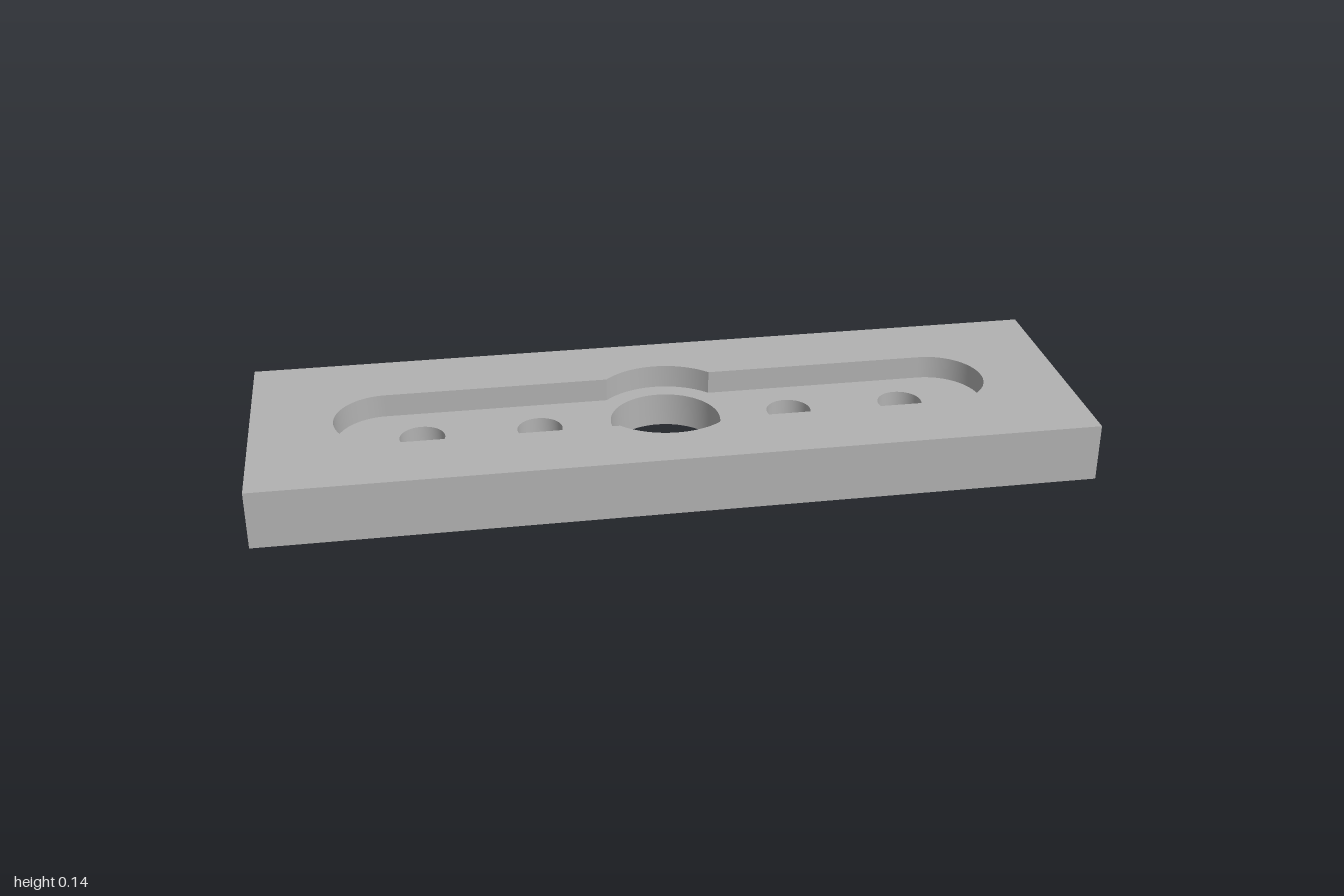
import * as THREE from 'three';

const HALF_X = 1, HALF_Z = 0.31, TOP = 0.143, FLOOR = 0.085;
const SLOT_R = 0.125, SLOT_END = 0.678, BOSS_R = 0.18, BORE_R = 0.135, BOLT_R = 0.055;
const SEGMENTS = 32;

// Clockwise plate outline, so its walls face outward
function plateOutline() {
  return new THREE.Shape()
    .moveTo(-HALF_X, -HALF_Z)
    .lineTo(-HALF_X, HALF_Z)
    .lineTo(HALF_X, HALF_Z)
    .lineTo(HALF_X, -HALF_Z)
    .lineTo(-HALF_X, -HALF_Z);
}

// Counter-clockwise slot with a round widening in the middle; its walls face inward
function pocketOutline() {
  const a = Math.asin(SLOT_R / BOSS_R), j = BOSS_R * Math.cos(a), q = Math.PI / 2;
  return new THREE.Shape()
    .moveTo(j, -SLOT_R)
    .lineTo(SLOT_END, -SLOT_R)
    .absarc(SLOT_END, 0, SLOT_R, -q, q, false)
    .lineTo(j, SLOT_R)
    .absarc(0, 0, BOSS_R, a, Math.PI - a, false)
    .lineTo(-SLOT_END, SLOT_R)
    .absarc(-SLOT_END, 0, SLOT_R, q, 3 * q, false)
    .lineTo(-j, -SLOT_R)
    .absarc(0, 0, BOSS_R, Math.PI + a, 2 * Math.PI - a, false);
}

function circle(x, r) {
  return new THREE.Path().absarc(x, 0, r, 0, Math.PI * 2, false);
}

// Upright strip along one curve, smooth along its length
function strip(curve, y0, y1) {
  const positions = [], index = [];
  const points = curve.getPoints(curve.isEllipseCurve ? SEGMENTS * 2 : 1);
  points.forEach((p, i) => {
    positions.push(p.x, y0, -p.y, p.x, y1, -p.y);
    if (i > 0) {
      const k = 2 * (i - 1);
      index.push(k, k + 1, k + 3, k, k + 3, k + 2);
    }
  });
  const geometry = new THREE.BufferGeometry();
  geometry.setAttribute('position', new THREE.Float32BufferAttribute(positions, 3));
  geometry.setIndex(index);
  geometry.computeVertexNormals();
  return geometry;
}

export function createModel() {
  const model = new THREE.Group();
  model.name = 'mountingPlate';
  const grey = new THREE.MeshStandardMaterial({ color: 0xb2b2b2 });
  grey.name = 'grey';

  const add = (name, geometry) => {
    const mesh = new THREE.Mesh(geometry, grey);
    mesh.name = name;
    model.add(mesh);
  };
  const addWalls = (name, path, y0, y1) => {
    for (const curve of path.curves) {
      if (curve.getLength() > 1e-4) add(name, strip(curve, y0, y1));
    }
  };
  const addFace = (name, shape, holes, y, up) => {
    shape.holes = holes;
    const geometry = new THREE.ShapeGeometry(shape, SEGMENTS);
    geometry.rotateX(up ? -Math.PI / 2 : Math.PI / 2).translate(0, y, 0);
    add(name, geometry);
  };

  // Central bore and four bolt holes
  const holes = [circle(0, BORE_R)];
  for (const x of [-0.595, -0.31, 0.31, 0.595]) holes.push(circle(x, BOLT_R));

  // Horizontal faces
  addFace('topFace', plateOutline(), [pocketOutline()], TOP, true);
  addFace('pocketFloor', pocketOutline(), holes, FLOOR, true);
  addFace('bottomFace', plateOutline(), holes, 0, false);

  // Vertical walls
  addWalls('plateSide', plateOutline(), 0, TOP);
  addWalls('pocketWall', pocketOutline(), FLOOR, TOP);
  holes.forEach((hole, i) => addWalls(i === 0 ? 'boreWall' : 'boltHoleWall', hole, 0, FLOOR));

  return model;
}
